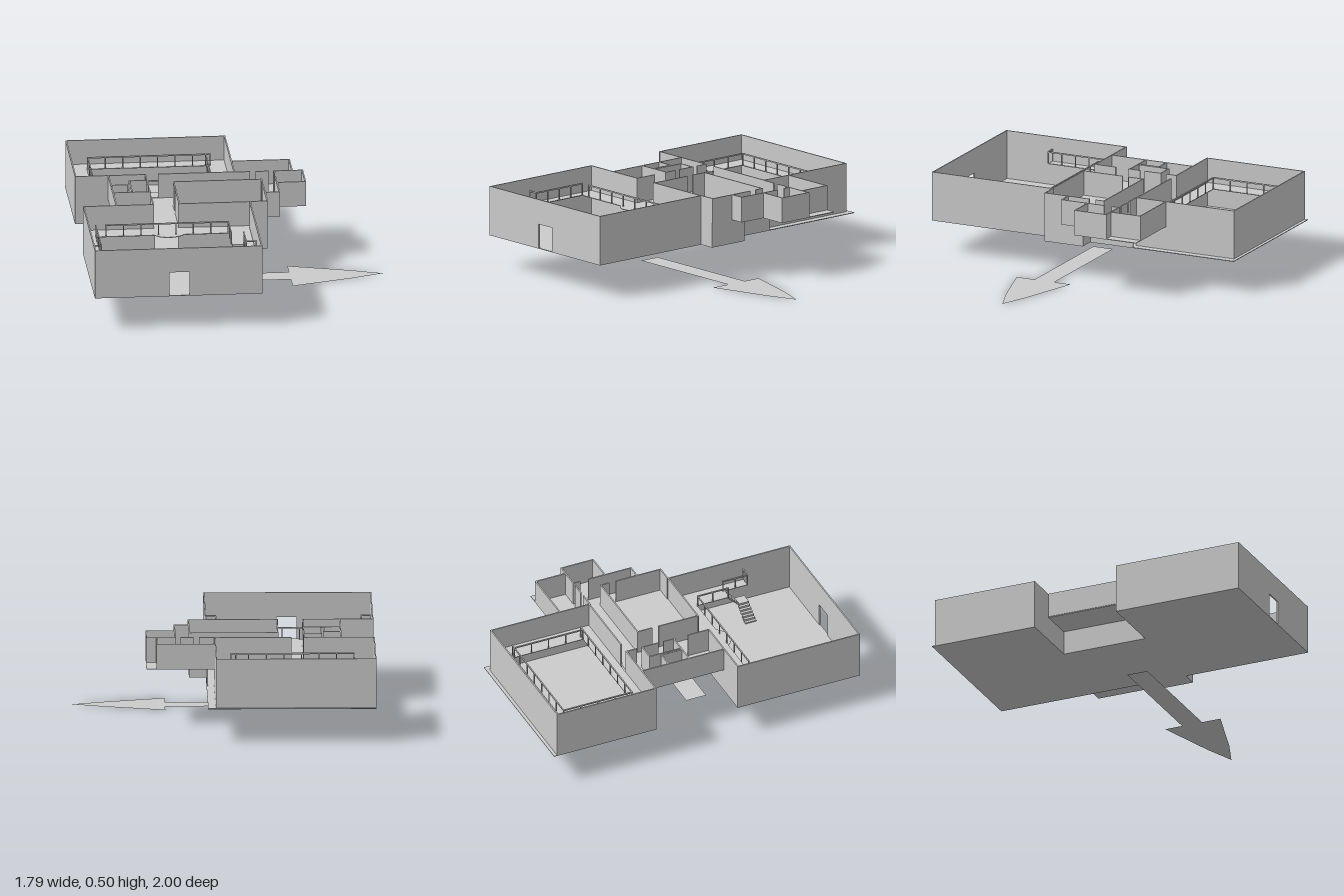
import * as THREE from 'three';

const GROUND = 0.2, UPPER = 0.35, TOP = 0.5, T = 0.008;

export function createModel() {
  const model = new THREE.Group();
  const mat = new THREE.MeshStandardMaterial({ color: 0xcccccc, flatShading: true, side: THREE.DoubleSide });

  function group(name) {
    const g = new THREE.Group();
    g.name = name;
    model.add(g);
    return g;
  }
  function add(parent, name, geometry) {
    const m = new THREE.Mesh(geometry, mat);
    m.name = name;
    parent.add(m);
    return m;
  }
  function box(parent, name, x0, x1, y0, y1, z0, z1) {
    add(parent, name, new THREE.BoxGeometry(x1 - x0, y1 - y0, z1 - z0))
      .position.set((x0 + x1) / 2, (y0 + y1) / 2, (z0 + z1) / 2);
  }
  // axis-aligned wall whose centre line runs between two plan points
  function wall(parent, name, [x0, z0, x1, z1], y0, y1, t = T) {
    const h = t / 2;
    box(parent, name, Math.min(x0, x1) - h, Math.max(x0, x1) + h, y0, y1, Math.min(z0, z1) - h, Math.max(z0, z1) + h);
  }
  function slab(parent, name, [x0, x1, z0, z1], y) {
    box(parent, name, x0, x1, y - 0.004, y, z0, z1);
  }
  // top bar on evenly spaced posts
  function railing(parent, [x0, z0, x1, z1]) {
    wall(parent, 'handrail', [x0, z0, x1, z1], 0.417, 0.425, 0.007);
    const n = Math.max(1, Math.round(Math.hypot(x1 - x0, z1 - z0) / 0.1));
    for (let i = 0; i <= n; i++) {
      const x = x0 + (x1 - x0) * i / n, z = z0 + (z1 - z0) * i / n;
      wall(parent, 'railPost', [x, z, x, z], UPPER, 0.417, 0.006);
    }
  }

  // ground floors
  const floors = group('groundFloors');
  slab(floors, 'frontHallFloor', [-0.9, 0.1, 0.2, 1], GROUND + 0.004);
  slab(floors, 'middleFloor', [-0.48, 0.1, -0.33, 0.2], GROUND + 0.004);
  slab(floors, 'sideFloor', [0.1, 0.2, -0.05, 0.2], GROUND + 0.004);
  slab(floors, 'backHallFloor', [-0.9, 0.1, -1, -0.33], GROUND + 0.004);

  // full-height walls of the two halls
  const halls = group('hallWalls');
  const h = T / 2;
  [
    [-0.9 + h, 0.2 + h, -0.9 + h, 1 - h], [0.1 - h, 0.2 + h, 0.1 - h, 1 - h],
    [-0.9 + h, 1 - h, -0.455 - h, 1 - h], [-0.335 + h, 1 - h, 0.1 - h, 1 - h],
    [-0.9 + h, -0.976, -0.9 + h, -0.334], [0.05, -0.976, 0.05, -0.334],
    [-0.9 + h, -0.976, 0.05, -0.976],
    [-0.9 + h, -0.334, -0.48, -0.334], [-0.4, -0.334, 0.05, -0.334],
    [-0.9 + h, 0.204, -0.48, 0.204], [-0.33, 0.204, 0.1 - h, 0.204],
  ].forEach(w => wall(halls, 'hallWall', w, GROUND, TOP));
  box(halls, 'doorLintel', -0.455, -0.335, UPPER, TOP, 1 - T, 1);

  // lower walls below the middle block
  const lower = group('lowerMiddleWalls');
  [
    [-0.476, -0.33, -0.476, 0.2], [0.196, -0.046, 0.196, 0.2],
    [0.1, -0.046, 0.196, -0.046], [0.096, -0.33, 0.096, -0.046],
    [0.1, 0.2, 0.196, 0.2],
  ].forEach(w => wall(lower, 'lowerWall', w, GROUND, UPPER));

  // upper floor of the middle block and its side annex
  const upper = group('upperFloors');
  [
    [-0.7, 0.2, -0.33, 0.2], [0.2, 0.29, -0.33, 0.05],
    [0.29, 0.46, -0.33, -0.12], [0.05, 0.46, -0.53, -0.33],
  ].forEach(r => slab(upper, 'upperFloor', r, UPPER));

  // upper room partitions, with door gaps
  const rooms = group('upperRoomWalls');
  [
    // outer shell
    [-0.7, -0.33, -0.7, 0.2], [0.2, 0.05, 0.2, 0.2], [0.1, 0.2, 0.2, 0.2],
    [0.2, 0.046, 0.286, 0.046], [0.286, -0.12, 0.286, 0.046],
    [0.29, -0.124, 0.456, -0.124], [0.456, -0.33, 0.456, -0.124],
    [0.05, -0.526, 0.395, -0.526], [0.395, -0.526, 0.395, -0.33],
    [0.05, -0.33, 0.14, -0.33], [0.18, -0.33, 0.25, -0.33], [0.29, -0.33, 0.456, -0.33],
    [0.286, -0.33, 0.286, -0.29], [0.286, -0.23, 0.286, -0.12],
    // small rooms on the right
    [-0.48, -0.33, -0.48, -0.27], [-0.48, -0.23, -0.48, -0.13], [-0.48, -0.09, -0.48, -0.02],
    [-0.48, 0.07, -0.48, 0.2], [-0.7, -0.025, -0.48, -0.025],
    [-0.585, -0.23, -0.585, -0.04], [-0.585, -0.23, -0.48, -0.23],
    [-0.7, -0.16, -0.605, -0.16], [-0.6, -0.155, -0.6, -0.025],
    // large central room
    [-0.325, -0.19, 0.2, -0.19], [-0.325, -0.19, -0.325, -0.1], [-0.325, -0.05, -0.325, 0.2],
    [0.2, -0.19, 0.2, -0.14], [0.2, -0.09, 0.2, 0.05],
  ].forEach(w => wall(rooms, 'partition', w, UPPER, TOP));

  // gallery around the back hall
  const backGallery = group('backGallery');
  [
    [-0.89, 0.05, -0.97, -0.88], [-0.89, 0.05, -0.43, -0.34],
    [-0.89, -0.78, -0.88, -0.43], [-0.07, 0.05, -0.88, -0.43],
  ].forEach(r => slab(backGallery, 'walkway', r, UPPER));
  [
    [-0.775, -0.88, -0.045, -0.88], [-0.775, -0.433, -0.045, -0.433],
    [-0.775, -0.88, -0.775, -0.433], [-0.072, -0.88, -0.072, -0.433],
  ].forEach(r => railing(backGallery, r));

  // U-shaped gallery in the front hall
  const frontGallery = group('frontGallery');
  [
    [-0.89, 0.09, 0.21, 0.33], [-0.89, -0.835, 0.33, 0.69],
    [0.03, 0.09, 0.33, 0.69], [-0.04, 0.03, 0.33, 0.53],
  ].forEach(r => slab(frontGallery, 'walkway', r, UPPER));
  [
    [-0.775, 0.33, -0.045, 0.33], [-0.835, 0.33, -0.835, 0.69], [-0.89, 0.69, -0.835, 0.69],
    [-0.045, 0.33, -0.045, 0.53], [0.03, 0.53, 0.03, 0.69], [0.03, 0.69, 0.09, 0.69],
  ].forEach(r => railing(frontGallery, r));

  // half-round balcony
  const balcony = new THREE.Shape();
  balcony.moveTo(-0.5, 0.2);
  balcony.lineTo(-0.5, 0.3);
  balcony.quadraticCurveTo(-0.47, 0.375, -0.4, 0.375);
  balcony.quadraticCurveTo(-0.34, 0.375, -0.31, 0.33);
  balcony.lineTo(-0.31, 0.2);
  const balconyMesh = add(frontGallery, 'balcony', new THREE.ExtrudeGeometry(balcony, { depth: 0.004, bevelEnabled: false }));
  balconyMesh.rotation.x = Math.PI / 2;
  balconyMesh.position.y = UPPER;

  // two stair flights meeting at a corner landing
  const stairs = group('stairs');
  const N = 6, rise = (UPPER - GROUND) / (2 * N + 1);
  for (let i = 0; i < N; i++) {
    const x = -0.145 + i * 0.0175, z = 0.6 - i * 0.0117;
    const y1 = GROUND + (i + 1) * rise, y2 = y1 + (N + 1) * rise;
    box(stairs, 'lowerStep', x, x + 0.0175, y1 - rise, y1, 0.597, 0.668);
    box(stairs, 'upperStep', -0.04, 0.028, y2 - rise, y2, z - 0.0117, z);
  }
  const landingY = GROUND + (N + 1) * rise;
  box(stairs, 'landing', -0.04, 0.028, landingY - rise, landingY, 0.6, 0.668);

  // flat direction arrow lying on the ground
  const arrow = new THREE.Shape([
    [-0.45, 0.07], [0.34, 0.07], [0.34, -0.04], [0.71, 0.07], [0.895, 0.14],
    [0.71, 0.21], [0.34, 0.32], [0.34, 0.2], [-0.45, 0.2],
  ].map(([x, z]) => new THREE.Vector2(x, -z)));
  add(model, 'directionArrow', new THREE.ShapeGeometry(arrow)).rotation.x = -Math.PI / 2;

  return model;
}
